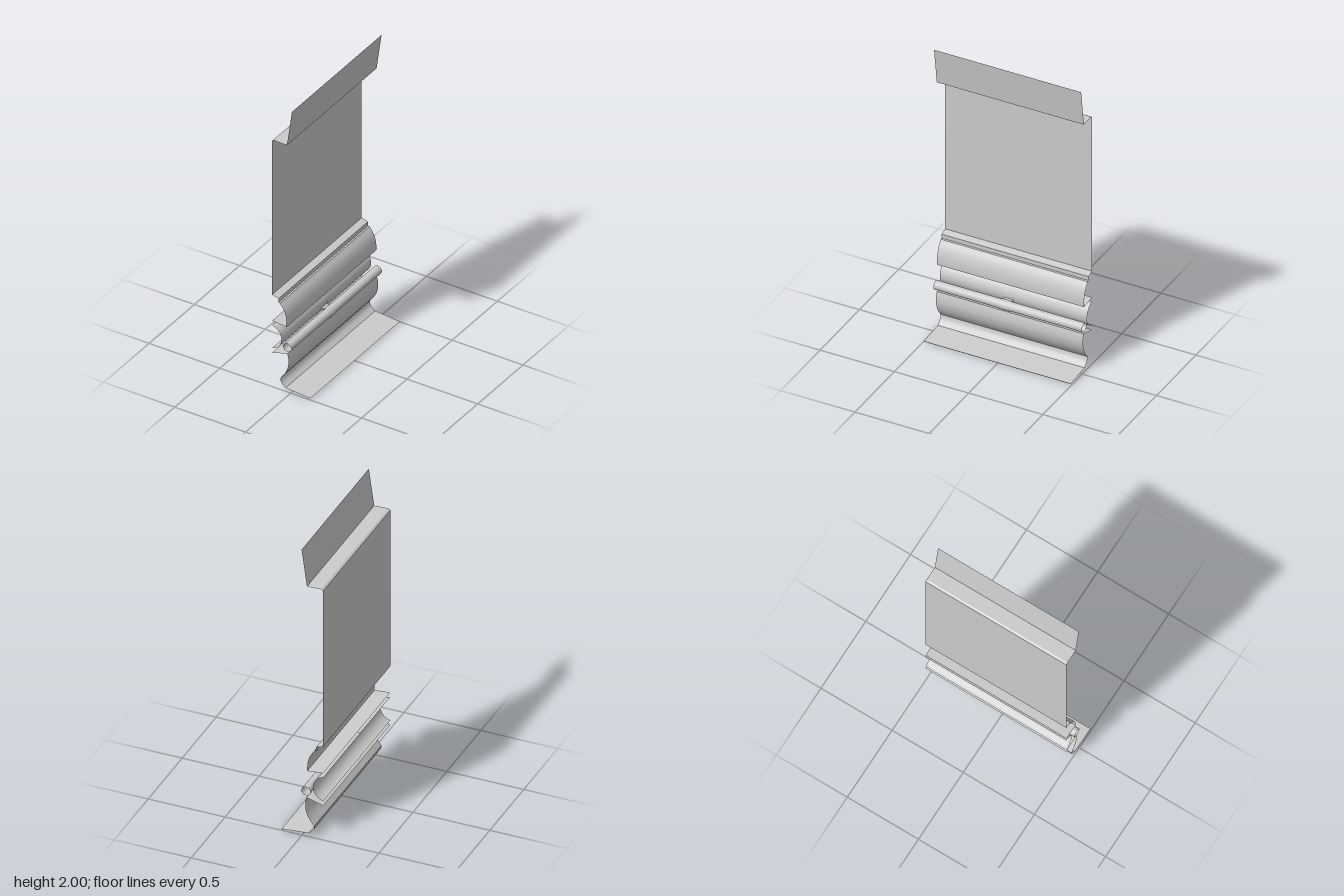
import * as THREE from 'three';
import { toCreasedNormals } from 'three/addons/utils/BufferGeometryUtils.js';

const material = new THREE.MeshStandardMaterial({ color: 0xcccccc, side: THREE.DoubleSide });

// Smooth run of profile points through a few guide points
function smooth(points, n = 14) {
  const curve = new THREE.SplineCurve(points.map(([x, y]) => new THREE.Vector2(x, y)));
  return curve.getPoints(n).map((p) => [p.x, p.y]);
}

// Points on a circular arc, angles in degrees
function arc(cx, cy, r, from, to, n = 24) {
  return Array.from({ length: n + 1 }, (_, i) => {
    const a = THREE.MathUtils.degToRad(from + ((to - from) * i) / n);
    return [cx + r * Math.cos(a), cy + r * Math.sin(a)];
  });
}

// Thin sheet: an open profile in x and y swept along z
function sheet(name, profile, z0 = -0.495, z1 = 0.495) {
  const positions = [];
  const index = [];
  profile.forEach(([x, y], i) => {
    positions.push(x, y, z0, x, y, z1);
    if (i === 0) return;
    const a = 2 * i - 2;
    index.push(a, a + 1, a + 3, a, a + 3, a + 2);
  });
  const geometry = new THREE.BufferGeometry();
  geometry.setAttribute('position', new THREE.Float32BufferAttribute(positions, 3));
  geometry.setIndex(index);
  geometry.computeVertexNormals();
  const mesh = new THREE.Mesh(toCreasedNormals(geometry, 0.5), material);
  mesh.name = name;
  return mesh;
}

// Open tube along z
function tube(name, x, y, radius, z0, z1) {
  const geometry = new THREE.CylinderGeometry(radius, radius, z1 - z0, 32, 1, true);
  geometry.rotateX(Math.PI / 2);
  const mesh = new THREE.Mesh(geometry, material);
  mesh.position.set(x, y, (z0 + z1) / 2);
  mesh.name = name;
  return mesh;
}

export function createModel() {
  const model = new THREE.Group();
  model.name = 'wallProfile';

  // Leaning flap, ledge, and tall panel
  model.add(sheet('upperPanel', [
    [0.005, 2], [-0.03, 1.75], [-0.122, 1.753], [-0.135, 1.745], [-0.135, 0.65],
  ]));

  // Moulding under the panel, with its return at the bottom
  model.add(sheet('upperMoulding', [
    [-0.135, 0.65], [-0.09, 0.638], [-0.09, 0.61], [-0.08, 0.607],
    ...smooth([[-0.077, 0.603], [-0.053, 0.57], [-0.038, 0.53], [-0.032, 0.49], [-0.032, 0.455]]),
    [-0.135, 0.465],
  ]));

  // Half-round channel between the mouldings
  model.add(sheet('channel', arc(-0.153, 0.352, 0.084, 78, -78)));

  // Lower moulding: return, rounded face, cove and sill with a drip lip
  model.add(sheet('lowerMoulding', [
    [-0.135, 0.237],
    ...smooth([[-0.027, 0.268], [-0.02, 0.23], [-0.021, 0.185], [-0.04, 0.13], [-0.077, 0.078]]),
    ...smooth([[-0.077, 0.066], [-0.066, 0.043], [-0.04, 0.02]], 6),
    [0.135, 0.007], [0.128, 0],
  ]));

  // Rail with a clip that holds it to the channel
  model.add(tube('rail', -0.025, 0.315, 0.029, -0.5, 0.5));
  const clip = new THREE.Group();
  clip.name = 'railClip';
  clip.add(sheet('clipBand', arc(-0.153, 0.352, 0.088, 78, -78), -0.005, 0.06));
  clip.add(tube('clipSleeve', -0.025, 0.315, 0.032, -0.005, 0.06));
  clip.add(sheet('clipUpperWeb', [[-0.066, 0.338], [-0.05, 0.335]], -0.005, 0.06));
  clip.add(sheet('clipLowerWeb', [[-0.07, 0.322], [-0.056, 0.315]], -0.005, 0.06));
  model.add(clip);

  return model;
}
